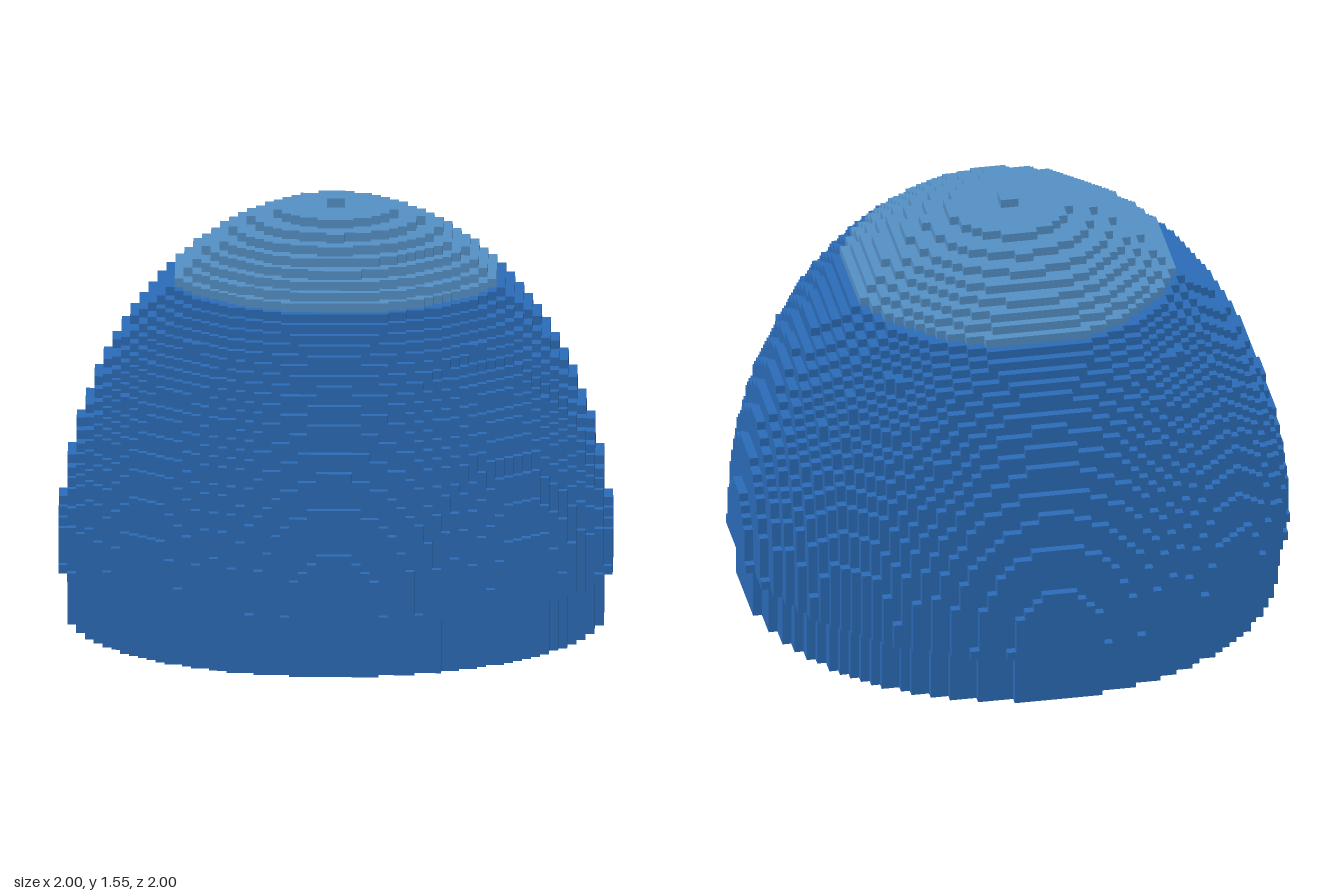
import * as THREE from 'three';
import { mergeGeometries } from 'three/addons/utils/BufferGeometryUtils.js';

const CELL = 1 / 31;      // edge of one voxel
const BASE_HEIGHT = 0.197;
const RADIUS = 31;        // dome radius in cells
const LAYERS = 41;        // dome height in cells, below the top knob
const CAP_START = 33;     // first layer of the pale cap

// Stepped disc: all cells whose centre lies within the radius
function steppedDisc(radius) {
  const widths = [];
  for (let j = 0; j + 0.5 < radius; j++) {
    const w = Math.floor(Math.sqrt(radius ** 2 - (j + 0.5) ** 2) + 0.5);
    if (w < 1) break;
    widths.push(w);
  }
  const quarter = [];
  widths.forEach((w, j) => {
    const next = widths[j + 1];
    if (next === w) return;
    quarter.push([w, j + 1]);
    if (next !== undefined) quarter.push([next, j + 1]);
  });
  // Turn the quarter outline round the axis
  const points = [];
  for (let q = 0; q < 4; q++) {
    for (const [a, b] of quarter) {
      const [x, y] = [[a, b], [-b, a], [-a, -b], [b, -a]][q];
      points.push(new THREE.Vector2(x * CELL, y * CELL));
    }
  }
  return new THREE.Shape(points);
}

function slab(radius, y, height) {
  const geometry = new THREE.ExtrudeGeometry(steppedDisc(radius), { depth: height, bevelEnabled: false });
  return geometry.rotateX(-Math.PI / 2).translate(0, y, 0);
}

// Stack of slabs following an ellipsoid
function domeLayers(from, to) {
  const slabs = [];
  for (let k = from; k <= to; k++) {
    const radius = Math.max(1, RADIUS * Math.sqrt(1 - (k / LAYERS) ** 2));
    slabs.push(slab(radius, BASE_HEIGHT + k * CELL, CELL));
  }
  return mergeGeometries(slabs);
}

export function createModel() {
  const group = new THREE.Group();
  const blue = new THREE.MeshStandardMaterial({ name: 'blue', color: 0x2b6cb8 });
  const paleBlue = new THREE.MeshStandardMaterial({ name: 'pale blue', color: 0x5490c6 });

  const add = (name, geometry, material) => {
    const mesh = new THREE.Mesh(geometry, material);
    mesh.name = name;
    group.add(mesh);
  };
  add('base', slab(RADIUS - 1, 0, BASE_HEIGHT), blue);
  add('dome', domeLayers(0, CAP_START - 1), blue);
  add('cap', domeLayers(CAP_START, LAYERS - 1), paleBlue);
  add('knob', domeLayers(LAYERS, LAYERS), paleBlue);
  return group;
}
